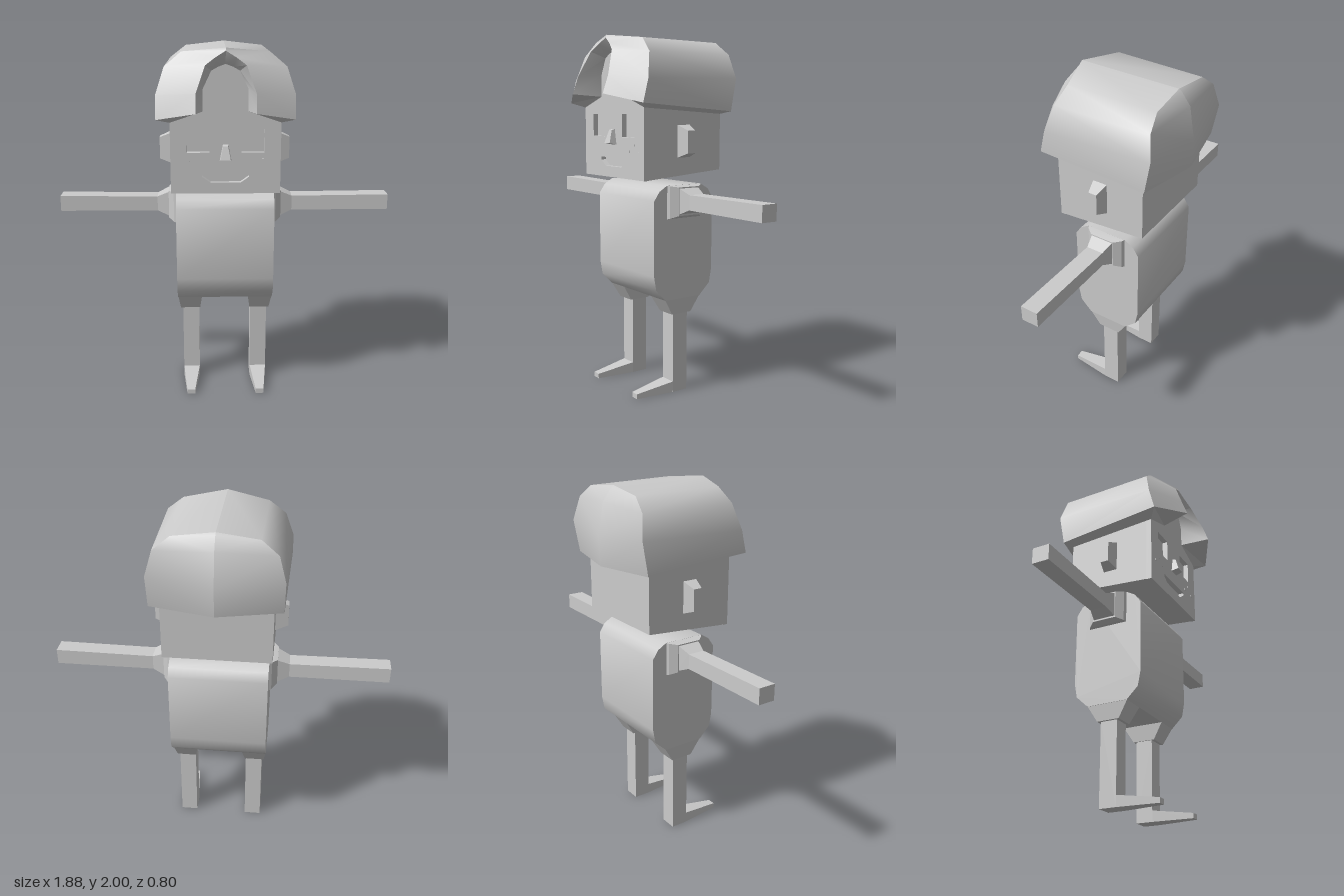
import * as THREE from 'three';
import { toCreasedNormals } from 'three/addons/utils/BufferGeometryUtils.js';

const grey = new THREE.MeshStandardMaterial({ color: 0xcccccc });

function named(name, geometry) {
  const mesh = new THREE.Mesh(geometry, grey);
  mesh.name = name;
  return mesh;
}

function fromTriangles(points, crease) {
  const geometry = new THREE.BufferGeometry();
  geometry.setAttribute('position', new THREE.Float32BufferAttribute(points.flat(), 3));
  geometry.computeVertexNormals();
  return toCreasedNormals(geometry, crease);
}

// Open surface over rows of points; side = -1 mirrors it across x
function sheet(rows, side, crease = 0.75) {
  const tris = [];
  const p = (r, c) => [rows[r][c][0] * side, rows[r][c][1], rows[r][c][2]];
  const add = (a, b, c) => tris.push(...(side > 0 ? [a, b, c] : [a, c, b]));
  for (let r = 0; r + 1 < rows.length; r++) {
    for (let c = 0; c + 1 < rows[r].length; c++) {
      add(p(r, c), p(r, c + 1), p(r + 1, c + 1));
      add(p(r, c), p(r + 1, c + 1), p(r + 1, c));
    }
  }
  return fromTriangles(tris, crease);
}

// Closed solid through four-cornered rings, turned outward by its signed volume
function loft(rings) {
  const faces = [];
  const quad = (a, b, c, d) => faces.push([a, b, c], [a, c, d]);
  for (let i = 0; i + 1 < rings.length; i++) {
    for (let k = 0; k < 4; k++) {
      const n = (k + 1) % 4;
      quad(rings[i][k], rings[i][n], rings[i + 1][n], rings[i + 1][k]);
    }
  }
  const first = rings[0], last = rings[rings.length - 1];
  quad(first[3], first[2], first[1], first[0]);
  quad(...last);
  const v = (q) => new THREE.Vector3(...q);
  const volume = faces.reduce((sum, [a, b, c]) => sum + v(a).dot(v(b).cross(v(c))), 0);
  if (volume < 0) faces.forEach((f) => f.reverse());
  return fromTriangles(faces.flat(), 0.2);
}

// Rectangular rings across each axis
const ringX = (x, y0, y1, z0, z1) => [[x, y0, z0], [x, y1, z0], [x, y1, z1], [x, y0, z1]];
const ringY = (y, x0, x1, z0, z1) => [[x0, y, z0], [x1, y, z0], [x1, y, z1], [x0, y, z1]];
const ringZ = (z, x0, x1, y0, y1) => [[x0, y0, z], [x1, y0, z], [x1, y1, z], [x0, y1, z]];

const outline = (pts) => pts.map(([x, y]) => new THREE.Vector2(x, y));

function makeHead() {
  const head = new THREE.Group();
  head.name = 'head';

  // Face plate with eye and mouth recesses, running up under the fringe
  const face = new THREE.Shape(outline([
    [-0.295, 1.225], [0.295, 1.225], [0.295, 1.64], [0.13, 1.69],
    [0.13, 1.79], [0.08, 1.89], [0, 1.93], [-0.08, 1.89],
    [-0.13, 1.79], [-0.13, 1.69], [-0.295, 1.64],
  ]));
  for (const s of [1, -1]) {
    face.holes.push(new THREE.Path(outline([
      [0.085 * s, 1.45], [0.207 * s, 1.45], [0.207 * s, 1.575], [0.085 * s, 1.575],
    ])));
  }
  face.holes.push(new THREE.Path(outline([
    [-0.127, 1.335], [0.127, 1.335], [0.127, 1.318], [0.08, 1.285], [-0.08, 1.285], [-0.127, 1.318],
  ])));
  const plate = new THREE.ExtrudeGeometry(face, { depth: 0.03, bevelEnabled: false });
  head.add(named('face', plate.translate(0, 0, 0.205)));

  // Skull with a sloping underside
  head.add(named('skull', loft([
    ringZ(0.205, -0.295, 0.295, 1.227, 1.64),
    ringZ(-0.285, -0.295, 0.295, 1.265, 1.6),
  ])));

  // Wedge nose
  head.add(named('nose', loft([
    [[-0.032, 1.407, 0.23], [0.032, 1.407, 0.23], [0.015, 1.495, 0.23], [-0.015, 1.495, 0.23]],
    [[-0.027, 1.417, 0.277], [0.027, 1.417, 0.277], [0.013, 1.488, 0.254], [-0.013, 1.488, 0.254]],
  ])));

  for (const s of [1, -1]) {
    head.add(named('ear', loft([
      ringX(0.29 * s, 1.34, 1.52, -0.07, 0.015),
      ringX(0.365 * s, 1.367, 1.488, -0.052, -0.003),
    ])));
    for (const [x, y] of [[0.2, 1.41], [0.157, 1.375], [0.243, 1.37]]) {
      const freckle = named('freckle', new THREE.BoxGeometry(0.012, 0.012, 0.004));
      freckle.position.set(x * s, y, 0.235);
      head.add(freckle);
    }
  }
  return head;
}

function makeHair() {
  const hair = new THREE.Group();
  hair.name = 'hair';
  // Each row runs from the middle of the crown down to the hem
  const archInner = [[0, 1.915, 0.235], [0.04, 1.9, 0.235], [0.075, 1.88, 0.235], [0.12, 1.785, 0.235], [0.12, 1.67, 0.235]];
  const archOuter = [[0, 1.985, 0.28], [0.055, 1.952, 0.293], [0.106, 1.915, 0.31], [0.154, 1.78, 0.365], [0.155, 1.683, 0.4]];
  const front = [[0, 2, 0.275], [0.23, 1.975, 0.2], [0.32, 1.9, 0.22], [0.365, 1.76, 0.258], [0.365, 1.635, 0.29]];
  const back = [[0, 1.995, -0.3], [0.22, 1.97, -0.31], [0.31, 1.9, -0.33], [0.347, 1.77, -0.355], [0.345, 1.59, -0.322]];
  const ridge = [[0, 1.995, -0.3], [0, 1.985, -0.315], [0, 1.92, -0.366], [0, 1.74, -0.397], [0, 1.583, -0.39]];
  const hemInner = [[0.12, 1.67, 0.235], [0.293, 1.61, 0.233], [0.293, 1.575, -0.283], [0, 1.575, -0.283]];
  const hemOuter = [archOuter[4], front[4], back[4], ridge[4]];
  for (const s of [1, -1]) {
    hair.add(named('fringeEdge', sheet([archInner, archOuter], s)));
    hair.add(named('fringe', sheet([archOuter, front], s)));
    hair.add(named('crown', sheet([front, back], s)));
    hair.add(named('backHair', sheet([back, ridge], s)));
    hair.add(named('hem', sheet([hemInner, hemOuter], s, 0.2)));
  }
  return hair;
}

function makeTorso() {
  // Side profile as (z, y), extruded across the width
  const profile = new THREE.Shape(outline([
    [0.075, 0.55], [0.14, 0.615], [0.155, 0.695], [0.155, 1.11], [0.12, 1.16], [0.07, 1.19],
    [-0.165, 1.19], [-0.217, 1.16], [-0.25, 1.11], [-0.25, 0.695], [-0.235, 0.615], [-0.165, 0.55],
  ]));
  const geometry = new THREE.ExtrudeGeometry(profile, { depth: 0.55, bevelEnabled: false });
  geometry.rotateY(-Math.PI / 2).translate(0.275, 0, 0);
  return named('torso', toCreasedNormals(geometry, 0.75));
}

function makeLimbs(s) {
  const limbs = new THREE.Group();
  limbs.name = s > 0 ? 'leftLimbs' : 'rightLimbs';
  // Shoulder block
  limbs.add(named('shoulder', loft([
    ringX(0.27 * s, 1.005, 1.19, -0.165, 0.07),
    ringX(0.29 * s, 1.01, 1.188, -0.155, 0.06),
    ringX(0.32 * s, 1.025, 1.182, -0.117, 0.022),
  ])));
  // Straight arm flaring into the shoulder
  limbs.add(named('arm', loft([
    ringX(0.31 * s, 1.03, 1.18, -0.115, 0.02),
    ringX(0.385 * s, 1.062, 1.145, -0.095, 0.002),
    ringX(0.94 * s, 1.062, 1.15, -0.095, 0.002),
  ])));
  // Short trouser leg
  limbs.add(named('trouserLeg', loft([
    ringY(0.555, 0.135 * s, 0.273 * s, -0.168, 0.078),
    ringY(0.46, 0.147 * s, 0.262 * s, -0.11, 0.02),
  ])));
  limbs.add(named('leg', loft([
    ringY(0.47, 0.153 * s, 0.249 * s, -0.095, 0.003),
    ringY(0, 0.153 * s, 0.249 * s, -0.095, 0.003),
  ])));
  // Tapering foot
  limbs.add(named('foot', loft([
    ringZ(0, 0.153 * s, 0.249 * s, 0, 0.062),
    ringZ(0.235, 0.178 * s, 0.224 * s, 0.002, 0.03),
  ])));
  return limbs;
}

export function createModel() {
  const model = new THREE.Group();
  model.name = 'figure';
  model.add(makeHead(), makeHair(), makeTorso(), makeLimbs(1), makeLimbs(-1));
  return model;
}
